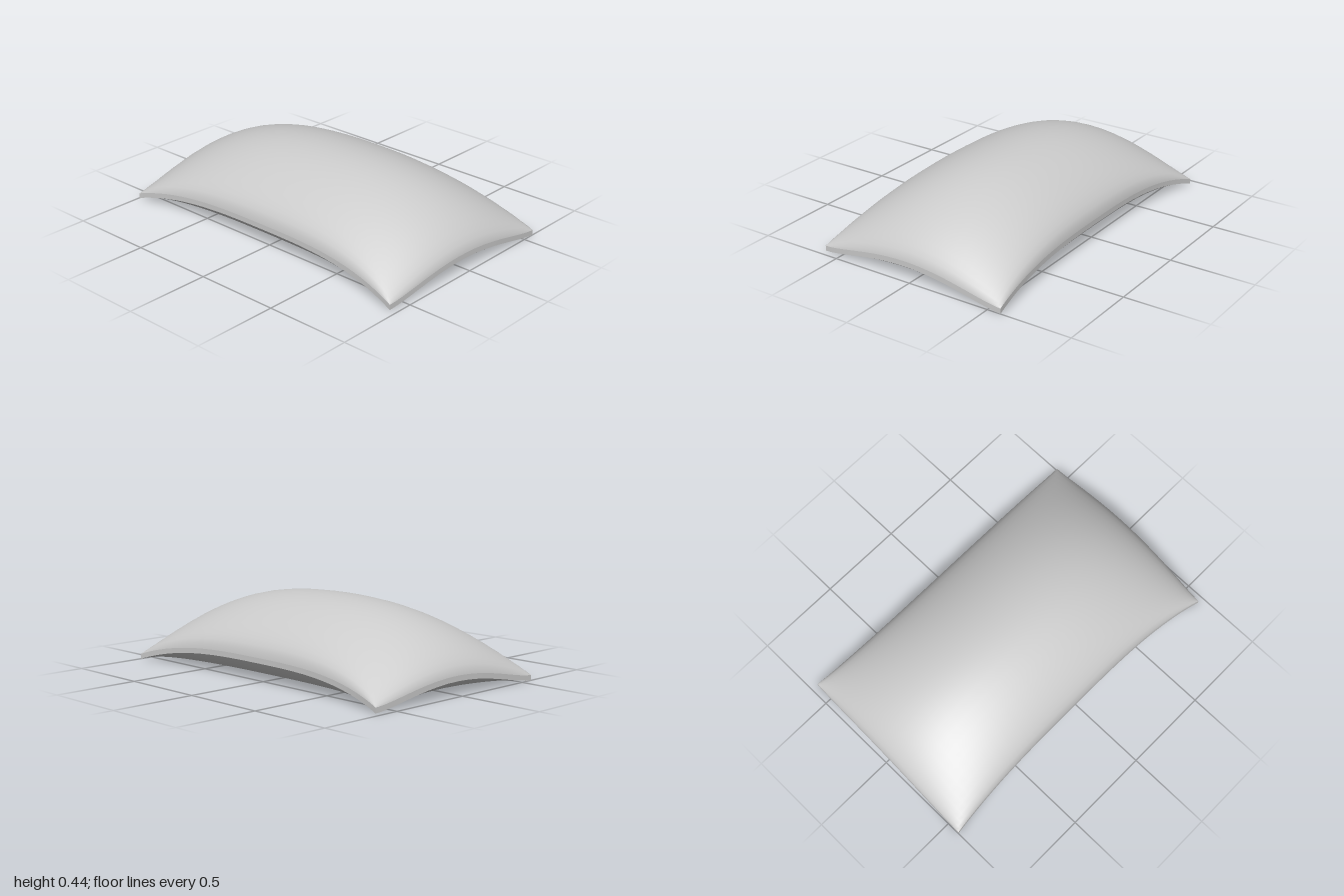
import * as THREE from 'three';

const SEAM = 0.03; // height of the seam band

// outline of the cushion: slightly pinched, sheared rectangle; u, v in -1..1
const outlineX = (u, v) => u * (0.548 + 0.047 * Math.abs(v) ** 3) - 0.015 * v ** 3;
const outlineZ = (u, v) => v * (0.985 - 0.007 * u * u) + 0.02 * u * Math.abs(v);

// lift of the seam along the long sides and along the ends
const sideLift = (v) => 0.11 * (1 - Math.abs(v) ** 3);
const endLift = (u) => 0.08 * Math.max(0, 1 - u * u) ** 1.6;
const dome = (a, power) => Math.max(0, 1 - a * a) ** power;

function topPoint(u, v) {
  const y = SEAM + sideLift(v) + endLift(u) + 0.225 * dome(u, 0.47) * dome(v, 0.5);
  return [outlineX(u, v), y, outlineZ(u, v)];
}

function bottomPoint(u, v) {
  const y = sideLift(v) * Math.abs(u) ** 6 + endLift(u) * Math.abs(v) ** 10;
  return [outlineX(u, v), y, outlineZ(u, v)];
}

// grid surface over s, t in -1..1, with rows packed closer towards the edges
function patch(point, ns, nt) {
  const positions = [];
  const index = [];
  const spread = (k, n) => Math.sin((k / n - 0.5) * Math.PI);
  for (let j = 0; j <= nt; j++) {
    for (let i = 0; i <= ns; i++) positions.push(...point(spread(i, ns), spread(j, nt)));
  }
  for (let j = 0; j < nt; j++) {
    for (let i = 0; i < ns; i++) {
      const a = j * (ns + 1) + i;
      const b = a + ns + 1;
      index.push(a, b, a + 1, b, b + 1, a + 1);
    }
  }
  const geometry = new THREE.BufferGeometry();
  geometry.setAttribute('position', new THREE.Float32BufferAttribute(positions, 3));
  geometry.setIndex(index);
  geometry.computeVertexNormals();
  return geometry;
}

export function createModel() {
  const group = new THREE.Group();
  group.name = 'cushion';
  const material = new THREE.MeshStandardMaterial({ color: 0xcccccc });
  const add = (name, geometry) => {
    const mesh = new THREE.Mesh(geometry, material);
    mesh.name = name;
    group.add(mesh);
  };

  const NU = 24;
  const NV = 32;

  // puffed upper cover and flat underside (mirrored in u so it faces down)
  add('topCover', patch(topPoint, NU, NV));
  add('underside', patch((s, t) => bottomPoint(-s, t), NU, NV));

  // narrow band joining the two covers along each edge
  const seams = [
    ['frontSeam', (s) => [-s, 1], NU],
    ['backSeam', (s) => [s, -1], NU],
    ['leftSeam', (s) => [1, s], NV],
    ['rightSeam', (s) => [-1, -s], NV],
  ];
  for (const [name, edge, n] of seams) {
    add(name, patch((s, t) => (t > 0 ? topPoint : bottomPoint)(...edge(s)), n, 1));
  }

  return group;
}
